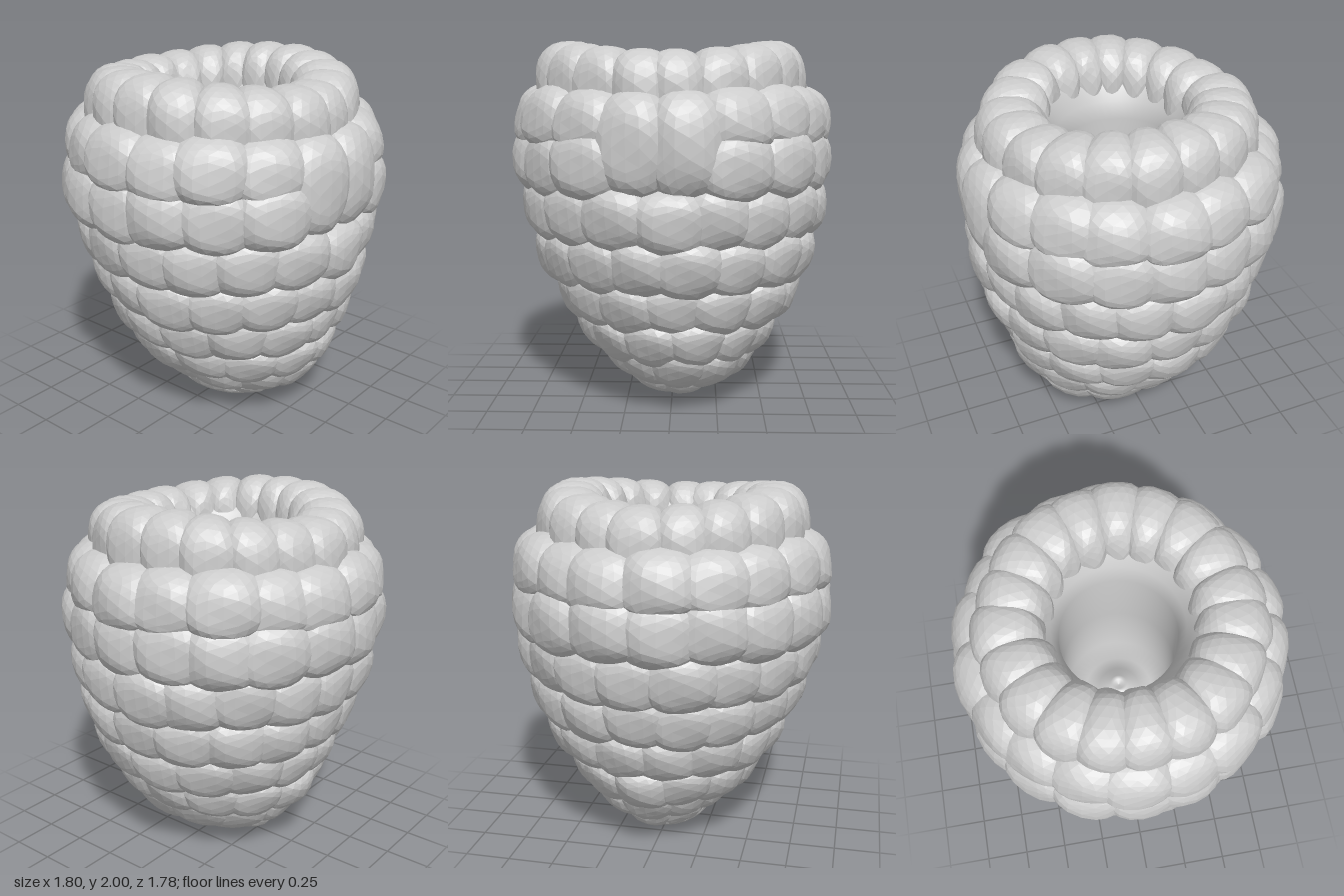
import * as THREE from 'three';
import { mergeGeometries } from 'three/addons/utils/BufferGeometryUtils.js';

const material = new THREE.MeshStandardMaterial({ color: 0xcccccc, flatShading: true });
const coreMaterial = new THREE.MeshStandardMaterial({ color: 0xcccccc, side: THREE.DoubleSide });

// Small seeded generator for natural variation
let seed = 7;
const vary = (amount) => {
  seed = (seed * 16807) % 2147483647;
  return (seed / 2147483647 - 0.5) * 2 * amount;
};

// Rounds a sphere coordinate outwards so each bead becomes a puffy cushion
const puff = (c) => Math.sign(c) * Math.abs(c) ** 0.8;

// One bead, bent around the fruit: x follows the angle, y the height, z the radius
function bead(row, angle, halfAngle, y, halfHeight) {
  const geometry = new THREE.IcosahedronGeometry(1, 4);
  const pos = geometry.attributes.position;
  const bulge = vary(0.012);
  const phase = vary(3);
  for (let i = 0; i < pos.count; i++) {
    const a = pos.getX(i), b = pos.getY(i), c = pos.getZ(i);
    const dent = 1 + 0.03 * Math.sin(5 * a + 4 * b + 3 * c + phase);
    const theta = angle + halfAngle * puff(a);
    const up = halfHeight * puff(b);
    const inset = row.depth * (puff(c) * dent - 1) + bulge + row.slope * up;
    pos.setXYZ(i,
      row.cx + (row.rx + inset) * Math.sin(theta),
      y + up - row.saddle * Math.cos(2 * theta),
      row.cz + (row.rz + inset) * Math.cos(theta));
  }
  geometry.computeVertexNormals();
  return geometry;
}

// Rings of beads from the crown down to the tip
const rows = [
  { name: 'crownBeads', y: 1.75, h: 0.22, rx: 0.755, rz: 0.75, cx: -0.015, cz: 0, n: 19, start: 0.1, depth: 0.195, slope: 0, saddle: 0.03 },
  { name: 'shoulderBeads', y: 1.585, h: 0.18, rx: 0.89, rz: 0.875, cx: -0.005, cz: 0, n: 18, start: -0.23, depth: 0.2, slope: -0.15, saddle: 0 },
  { name: 'upperBeads', y: 1.35, h: 0.2, rx: 0.905, rz: 0.89, cx: -0.005, cz: 0, n: 18, start: -0.23, depth: 0.2, slope: 0, saddle: 0 },
  { name: 'middleBeads', y: 1.08, h: 0.19, rx: 0.865, rz: 0.85, cx: 0.015, cz: 0.01, n: 18, start: -0.05, depth: 0.2, slope: 0.15, saddle: 0 },
  { name: 'lowerMiddleBeads', y: 0.83, h: 0.18, rx: 0.79, rz: 0.79, cx: 0.015, cz: 0.02, n: 17, start: 0.12, depth: 0.2, slope: 0.25, saddle: 0 },
  { name: 'lowerBeads', y: 0.6, h: 0.17, rx: 0.69, rz: 0.71, cx: 0.025, cz: 0.025, n: 15, start: 0, depth: 0.2, slope: 0.35, saddle: 0 },
  { name: 'baseBeads', y: 0.39, h: 0.155, rx: 0.56, rz: 0.635, cx: 0.03, cz: 0.035, n: 13, start: 0.2, depth: 0.2, slope: 0.45, saddle: 0 },
  { name: 'undersideBeads', y: 0.235, h: 0.14, rx: 0.425, rz: 0.535, cx: 0.04, cz: 0.04, n: 10, start: 0, depth: 0.19, slope: 0.6, saddle: 0 },
  { name: 'tipBeads', y: 0.13, h: 0.105, rx: 0.29, rz: 0.4, cx: 0.02, cz: 0.02, n: 7, start: 0.3, depth: 0.18, slope: 0.6, saddle: 0 },
];

export function createModel() {
  const model = new THREE.Group();
  const add = (name, geometry, mat = material) => {
    const mesh = new THREE.Mesh(geometry, mat);
    mesh.name = name;
    model.add(mesh);
    return mesh;
  };

  for (const row of rows) {
    const step = (Math.PI * 2) / row.n;
    const paired = row.name === 'shoulderBeads' || row.name === 'upperBeads';
    const beads = [];
    for (let i = 0; i < row.n; i++) {
      if (paired && i < 2) continue; // the tall front beads go here
      const loose = row.name === 'crownBeads' ? 0 : 1;
      beads.push(bead(row, row.start + i * step + vary(0.03), step * 0.84,
        row.y + vary(0.012) * loose, row.h));
    }
    add(row.name, mergeGeometries(beads));
  }

  // Two tall beads at the front spanning the shoulder and upper rings
  const tall = rows[2];
  add('tallFrontBeads', mergeGeometries([0, 1].map((i) =>
    bead(tall, tall.start + (i * Math.PI * 2) / tall.n, 0.28, 1.46, 0.28))));

  // Rounded tip closing the underside
  const tip = add('tip', new THREE.IcosahedronGeometry(1, 4));
  tip.scale.set(0.24, 0.1, 0.33);
  tip.position.set(0, 0.1, 0.01);

  // Core: body behind the beads, crown rim, funnel mouth, round wall,
  // and a hollow floor rising to a small central knob
  const profile = [[0, 0.08], [0.2, 0.12], [0.36, 0.25], [0.5, 0.42], [0.62, 0.65],
    [0.71, 0.9], [0.79, 1.2], [0.79, 1.55], [0.69, 1.7], [0.68, 1.8], [0.63, 1.87], [0.54, 1.905],
    [0.45, 1.87], [0.39, 1.8], [0.345, 1.71], [0.31, 1.62], [0.31, 1.2], [0.31, 0.76],
    [0.2, 0.77], [0.12, 0.81], [0.05, 0.88], [0.03, 0.87], [0, 0.86]];
  const core = add('core', new THREE.LatheGeometry(profile.map(([r, y]) => new THREE.Vector2(r, y)), 48), coreMaterial);
  core.position.set(-0.01, 0, -0.01);

  return model;
}
